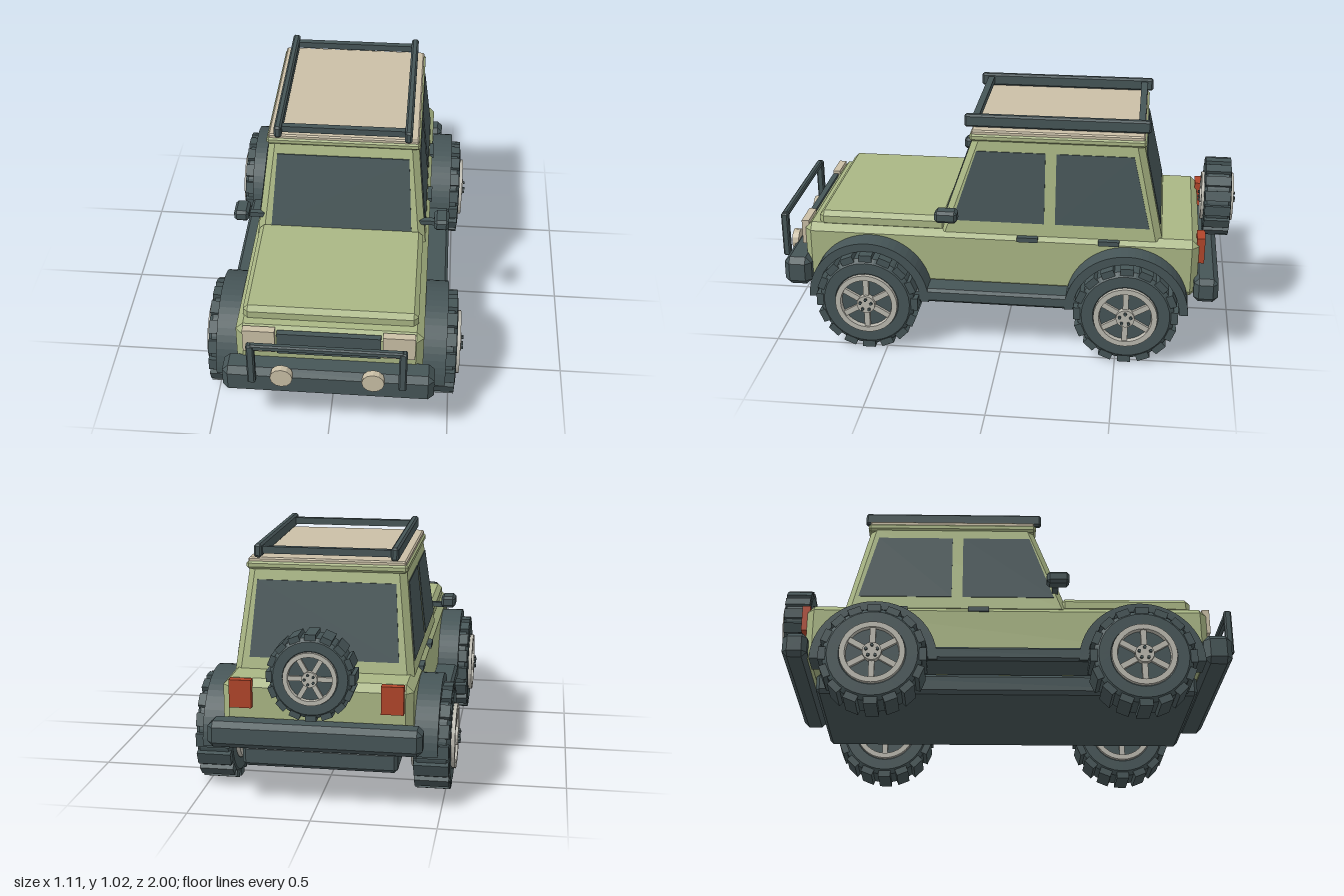
import * as THREE from 'three';
import { ConvexGeometry } from 'three/addons/geometries/ConvexGeometry.js';

const paint = (name, color, extra = {}) => {
  const m = new THREE.MeshStandardMaterial({ color, ...extra });
  m.name = name;
  return m;
};

export function createModel() {
  const olive = paint('olive paint', 0xa9b684);
  const dark = paint('dark trim', 0x465557);
  const beige = paint('beige', 0xcabfa6);
  const silver = paint('silver', 0xbab8ae);
  const red = paint('red', 0xb0452a);
  const model = new THREE.Group();
  model.name = 'offRoadCar';

  const add = (name, geometry, material, parent = model) => {
    const mesh = new THREE.Mesh(geometry, material);
    mesh.name = name;
    parent.add(mesh);
    return mesh;
  };
  const flat = (g) => {
    const out = g.index ? g.toNonIndexed() : g;
    out.computeVertexNormals();
    return out;
  };
  const hull = (points) => new ConvexGeometry(points.map((p) => new THREE.Vector3(...p)));

  // Box between two limits on each axis, with chamfered edges
  const block = (name, material, [x0, x1], [y0, y1], [z0, z1], c = 0) => {
    const w = (x1 - x0) / 2, h = (y1 - y0) / 2, d = (z1 - z0) / 2;
    let g;
    if (c > 0) {
      const pts = [];
      for (const i of [-1, 1]) for (const j of [-1, 1]) for (const k of [-1, 1]) {
        pts.push([i * w, j * (h - c), k * (d - c)]);
        pts.push([i * (w - c), j * h, k * (d - c)]);
        pts.push([i * (w - c), j * (h - c), k * d]);
      }
      g = hull(pts);
    } else g = new THREE.BoxGeometry(2 * w, 2 * h, 2 * d);
    const mesh = add(name, g, material);
    mesh.position.set((x0 + x1) / 2, (y0 + y1) / 2, (z0 + z1) / 2);
    return mesh;
  };
  // Same box on the s = +1 or -1 side
  const sideBlock = (s, name, material, [a, b], y, z, c) =>
    block(name, material, s > 0 ? [a, b] : [-b, -a], y, z, c);

  // Lower body, bonnet and chassis
  block('body', olive, [-0.385, 0.385], [0.255, 0.52], [-0.84, 0.88], 0.03);
  block('bonnet', olive, [-0.36, 0.36], [0.5, 0.572], [0.25, 0.815], 0.02);
  block('chassis', dark, [-0.32, 0.32], [0.135, 0.225], [-0.79, 0.83], 0.015);
  block('frontBumper', dark, [-0.435, 0.435], [0.24, 0.37], [0.85, 0.97], 0.025);
  block('rearBumper', dark, [-0.43, 0.43], [0.257, 0.365], [-0.93, -0.825], 0.022);
  block('grille', dark, [-0.212, 0.212], [0.405, 0.512], [0.87, 0.895]);

  // Tapered cabin with cut corner pillars
  const Y0 = 0.51, Y1 = 0.925;
  const lerp = (a, b, y) => a + ((b - a) * (y - 0.52)) / 0.4;
  const sideX = (y) => lerp(0.37, 0.325, y);
  const frontZ = (y) => lerp(0.28, 0.14, y);
  const rearZ = (y) => lerp(-0.68, -0.59, y);
  const cabin = [];
  for (const y of [Y0, Y1]) for (const s of [-1, 1]) {
    const x = sideX(y), f = frontZ(y), r = rearZ(y), c = 0.028;
    cabin.push([s * x, y, f - c], [s * (x - c), y, f], [s * x, y, r + c], [s * (x - c), y, r]);
  }
  add('cabin', hull(cabin), olive);

  // Thin glass plates lying on the cabin faces
  const glass = (name, corners, [dx, dz]) => {
    const t = 0.004;
    add(name, hull(corners.flatMap(([x, y, z]) => [
      [x + dx * t, y, z + dz * t], [x - dx * t, y, z - dz * t],
    ])), dark);
  };
  const yb = 0.567, yt = 0.877;
  const acrossGlass = (name, zAt, dir) => glass(name, [
    [-0.308, yb, zAt(yb)], [0.308, yb, zAt(yb)], [0.286, yt, zAt(yt)], [-0.286, yt, zAt(yt)],
  ], [0, dir]);
  acrossGlass('windscreen', frontZ, 1);
  acrossGlass('rearWindow', rearZ, -1);
  for (const s of [1, -1]) {
    const at = (y, z) => [s * sideX(y), y, z];
    glass('frontSideWindow', [at(yb, 0.222), at(yt, 0.12), at(yt, -0.175), at(yb, -0.175)], [s, 0]);
    glass('rearSideWindow', [at(yb, -0.222), at(yt, -0.222), at(yt, -0.55), at(yb, -0.625)], [s, 0]);
  }

  // Roof and rack
  block('roof', olive, [-0.332, 0.332], [0.918, 0.953], [-0.6, 0.15], 0.01);
  block('roofPanel', beige, [-0.325, 0.325], [0.94, 0.967], [-0.592, 0.143], 0.006);
  for (const s of [1, -1])
    sideBlock(s, 'rackRail', dark, [0.264, 0.296], [0.97, 1.025], [-0.615, 0.175], 0.008);
  for (const z of [-0.575, 0.13])
    block('rackCrossbar', dark, [-0.28, 0.28], [0.983, 1.012], [z - 0.014, z + 0.014]);

  // Bull bar
  block('bullBarTop', dark, [-0.31, 0.31], [0.51, 0.538], [0.972, 0.998], 0.006);
  for (const s of [1, -1]) {
    sideBlock(s, 'bullBarPost', dark, [0.29, 0.323], [0.33, 0.535], [0.968, 1.0], 0.006);
  }

  // Paired lamps, mirrors, handles and steps
  for (const s of [1, -1]) {
    sideBlock(s, 'headlight', beige, [0.22, 0.352], [0.412, 0.522], [0.865, 0.897]);
    sideBlock(s, 'tailLight', red, [0.26, 0.35], [0.41, 0.525], [-0.865, -0.83]);
    const fog = add('fogLamp', flat(new THREE.CylinderGeometry(0.046, 0.046, 0.03, 12)), beige);
    fog.rotation.x = Math.PI / 2;
    fog.position.set(s * 0.187, 0.352, 0.97);
    sideBlock(s, 'mirror', dark, [0.405, 0.47], [0.592, 0.645], [0.188, 0.285], 0.012);
    sideBlock(s, 'mirrorArm', dark, [0.34, 0.415], [0.59, 0.612], [0.215, 0.24]);
    sideBlock(s, 'sideStep', dark, [0.31, 0.48], [0.218, 0.28], [-0.36, 0.4], 0.012);
    for (const z of [-0.105, -0.455])
      sideBlock(s, 'doorHandle', dark, [0.36, 0.392], [0.487, 0.508], [z - 0.045, z + 0.045]);
  }

  // Wheel built around the y axis, centred on the origin
  const tyreProfile = [[0.13, -0.068], [0.14, -0.075], [0.188, -0.075], [0.207, -0.06],
    [0.207, 0.06], [0.188, 0.075], [0.14, 0.075], [0.13, 0.068]];
  const rimProfile = [[0.11, -0.07], [0.113, -0.09], [0.136, -0.09], [0.136, 0.09],
    [0.113, 0.09], [0.11, 0.07]];
  const lathe = (pts) =>
    flat(new THREE.LatheGeometry(pts.map(([r, y]) => new THREE.Vector2(r, y)), 32));
  const tyreGeo = lathe(tyreProfile), rimGeo = lathe(rimProfile);
  const lugGeo = new THREE.BoxGeometry(0.03, 0.142, 0.056);
  const spokeGeo = new THREE.BoxGeometry(0.09, 0.166, 0.024);
  const discGeo = flat(new THREE.CylinderGeometry(0.12, 0.12, 0.14, 24));
  const hubGeo = flat(new THREE.CylinderGeometry(0.04, 0.04, 0.192, 16));
  const boltGeo = flat(new THREE.CylinderGeometry(0.007, 0.007, 0.21, 6));
  const makeWheel = (name) => {
    const wheel = new THREE.Group();
    wheel.name = name;
    add('tyre', tyreGeo, dark, wheel);
    add('rim', rimGeo, silver, wheel);
    add('wheelDisc', discGeo, dark, wheel);
    add('hub', hubGeo, silver, wheel);
    const around = (label, count, radius, geo, mat) => {
      for (let i = 0; i < count; i++) {
        const a = (i / count) * Math.PI * 2;
        const m = add(label, geo, mat, wheel);
        m.position.set(Math.cos(a) * radius, 0, -Math.sin(a) * radius);
        m.rotation.y = a;
      }
    };
    around('treadLug', 16, 0.208, lugGeo, dark);
    around('spoke', 6, 0.073, spokeGeo, silver);
    around('wheelBolt', 5, 0.025, boltGeo, dark);
    model.add(wheel);
    return wheel;
  };

  // Half-ring wheel arch
  const archShape = new THREE.Shape();
  archShape.absarc(0, 0, 0.265, 0, Math.PI, false);
  archShape.absarc(0, 0, 0.228, Math.PI, 0, true);
  const archGeo = flat(new THREE.ExtrudeGeometry(archShape,
    { depth: 0.12, bevelEnabled: false, curveSegments: 14 }).translate(0, 0, -0.06).rotateY(Math.PI / 2));

  for (const [end, z] of [['front', 0.58], ['rear', -0.54]]) for (const s of [1, -1]) {
    const wheel = makeWheel(end + 'Wheel');
    wheel.rotation.z = Math.PI / 2;
    wheel.position.set(s * 0.45, 0.225, z);
    add(end + 'WheelArch', archGeo, dark).position.set(s * 0.42, 0.22, z);
  }

  // Spare wheel on the tail
  const spare = makeWheel('spareWheel');
  spare.rotation.x = Math.PI / 2;
  spare.scale.setScalar(0.78);
  spare.position.set(0, 0.578, -0.917);

  return model;
}
